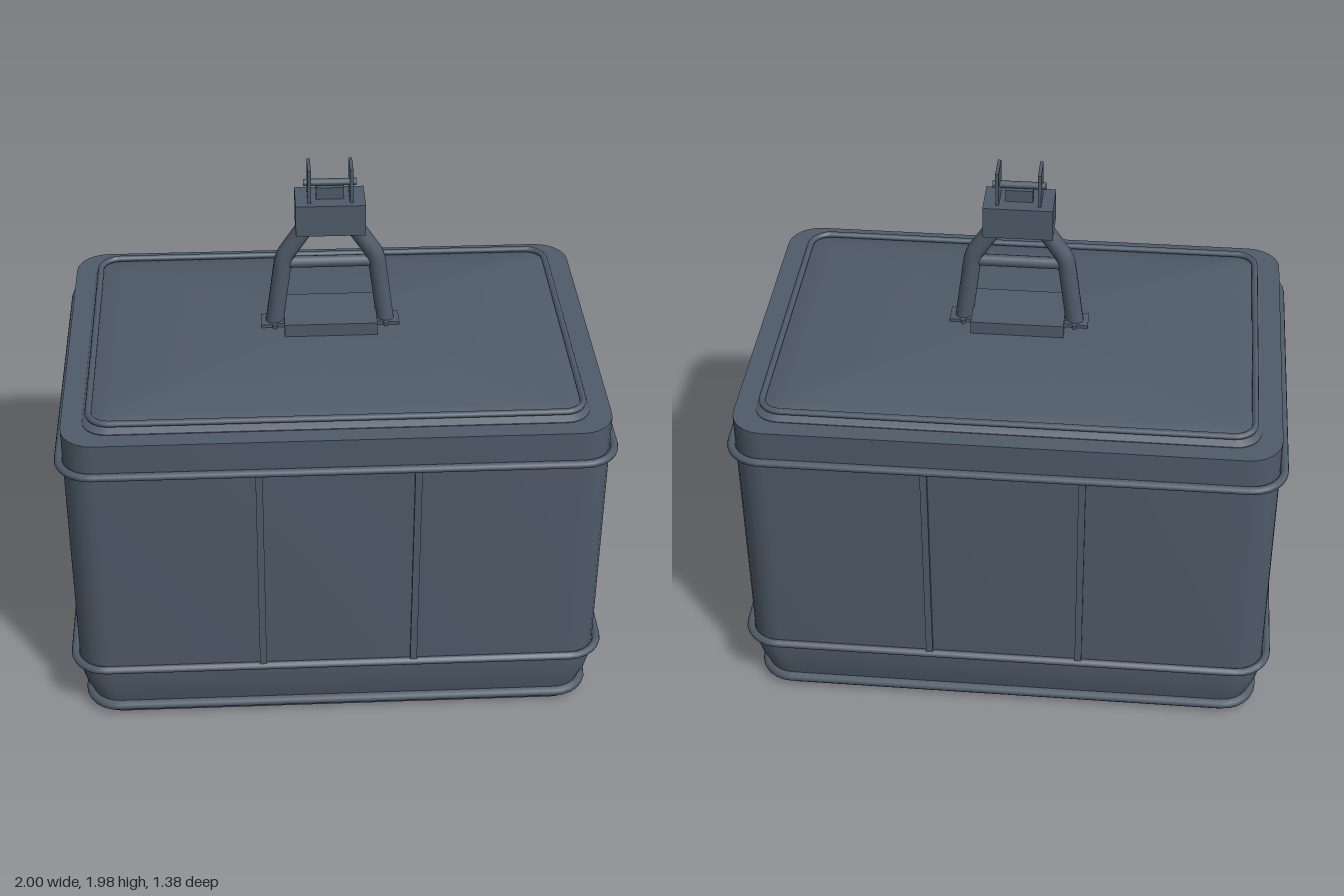
import * as THREE from 'three';
import { toCreasedNormals } from 'three/addons/utils/BufferGeometryUtils.js';

const steel = new THREE.MeshStandardMaterial({ color: 0x4f5b69 });
steel.name = 'blue grey steel';

// Outline of a rounded rectangle at height y
function outline(y, hx, hz, r, steps = 6) {
  const pts = [];
  for (let q = 0; q < 4; q++) {
    const sx = q === 0 || q === 3 ? 1 : -1, sz = q < 2 ? 1 : -1;
    for (let k = 0; k <= steps; k++) {
      const a = (q + k / steps) * Math.PI / 2;
      pts.push([sx * (hx - r) + r * Math.cos(a), y, sz * (hz - r) + r * Math.sin(a)]);
    }
  }
  return pts;
}

// Skin over rounded rectangles, each row being [y, halfX, halfZ, cornerRadius]
function loft(rows, crease = 0.6) {
  const rings = rows.map(row => outline(...row));
  const n = rings[0].length, pos = [];
  for (let i = 0; i < rings.length - 1; i++) {
    for (let j = 0; j < n; j++) {
      const k = (j + 1) % n;
      const a = rings[i][j], b = rings[i][k], c = rings[i + 1][j], d = rings[i + 1][k];
      pos.push(...a, ...c, ...b, ...b, ...c, ...d);
    }
  }
  const g = new THREE.BufferGeometry();
  g.setAttribute('position', new THREE.Float32BufferAttribute(pos, 3));
  return toCreasedNormals(g, crease);
}

// Round bead running around the tub
function bead(y, hx, hz, r, radius) {
  const rows = [];
  for (let i = 0; i <= 10; i++) {
    const a = i / 10 * Math.PI * 2, o = radius * Math.cos(a);
    rows.push([y + radius * Math.sin(a), hx + o, hz + o, r + o]);
  }
  return loft(rows, 0.8);
}

export function createModel() {
  const model = new THREE.Group();
  model.name = 'container';
  const add = (name, geometry, x = 0, y = 0, z = 0, parent = model) => {
    const mesh = new THREE.Mesh(geometry, steel);
    mesh.name = name;
    mesh.position.set(x, y, z);
    parent.add(mesh);
    return mesh;
  };
  const box = (name, w, h, d, x, y, z, parent) =>
    add(name, new THREE.BoxGeometry(w, h, d), x, y, z, parent);

  // Tub with tapered foot and flat rim
  add('tub', loft([
    [0, 0, 0, 0], [0, 0.915, 0.63, 0.1], [0.025, 0.92, 0.633, 0.1],
    [0.07, 0.933, 0.645, 0.11], [0.12, 0.955, 0.656, 0.12], [0.17, 0.965, 0.663, 0.12],
    [0.24, 0.97, 0.667, 0.12], [1.255, 0.97, 0.667, 0.12], [1.255, 0.86, 0.56, 0.07],
  ]));
  add('footBead', bead(0.045, 0.935, 0.645, 0.11, 0.02));
  add('lowerBead', bead(0.245, 0.984, 0.676, 0.12, 0.015));
  add('upperBead', bead(1.13, 0.984, 0.676, 0.12, 0.015));

  // Upright ribs on all four walls
  for (const side of [-1, 1]) {
    for (const p of [-1, 1]) {
      box('longWallRib', 0.025, 0.88, 0.03, p * 0.28, 0.687, side * 0.667);
      box('shortWallRib', 0.03, 0.88, 0.025, side * 0.97, 0.687, p * 0.22);
    }
  }

  // Domed lid
  const dome = [[1.25, 0.895, 0.6, 0.09], [1.258, 0.895, 0.6, 0.09], [1.272, 0.87, 0.575, 0.07]];
  for (let i = 0; i <= 10; i++) {
    const s = 1 - i / 10;
    dome.push([1.275 + 0.06 * (1 - s * s), 0.865 * s, 0.57 * s, 0.07 * s]);
  }
  add('lid', loft(dome));
  add('lidBead', bead(1.286, 0.872, 0.575, 0.075, 0.012));

  // Lifting handle
  const handle = new THREE.Group();
  handle.name = 'handle';
  model.add(handle);
  box('handleBase', 0.34, 0.08, 0.22, 0, 1.342, 0, handle);
  for (const s of [-1, 1]) {
    const path = new THREE.CurvePath();
    const p = [[0.205, 1.335], [0.174, 1.57], [0.158, 1.625], [0.075, 1.75]]
      .map(([x, y]) => new THREE.Vector3(s * x, y, 0));
    path.add(new THREE.LineCurve3(p[0], p[1]));
    path.add(new THREE.QuadraticBezierCurve3(p[1], new THREE.Vector3(s * 0.17, 1.603, 0), p[2]));
    path.add(new THREE.LineCurve3(p[2], p[3]));
    add('handleLeg', new THREE.TubeGeometry(path, 24, 0.033, 14), 0, 0, 0, handle);
    const foot = box('legPlate', 0.1, 0.016, 0.08, s * 0.205, 1.337, 0, handle);
    foot.rotation.z = -s * 0.08;
    for (const z of [-0.045, 0.045]) {
      add('plateBolt', new THREE.CylinderGeometry(0.008, 0.008, 0.02, 8), s * 0.205, 1.335, z, handle);
    }
    box('pinLug', 0.012, 0.13, 0.1, s * 0.075, 1.912, 0, handle);
  }
  const bar = add('crossBar', new THREE.CylinderGeometry(0.022, 0.022, 0.32, 14), 0, 1.585, 0, handle);
  bar.rotation.z = Math.PI / 2;
  box('handleHead', 0.25, 0.12, 0.15, 0, 1.79, 0, handle);
  box('headBlock', 0.1, 0.05, 0.04, 0, 1.87, 0, handle);
  const pin = add('pin', new THREE.CylinderGeometry(0.013, 0.013, 0.19, 12), 0, 1.908, 0, handle);
  pin.rotation.z = Math.PI / 2;

  return model;
}
